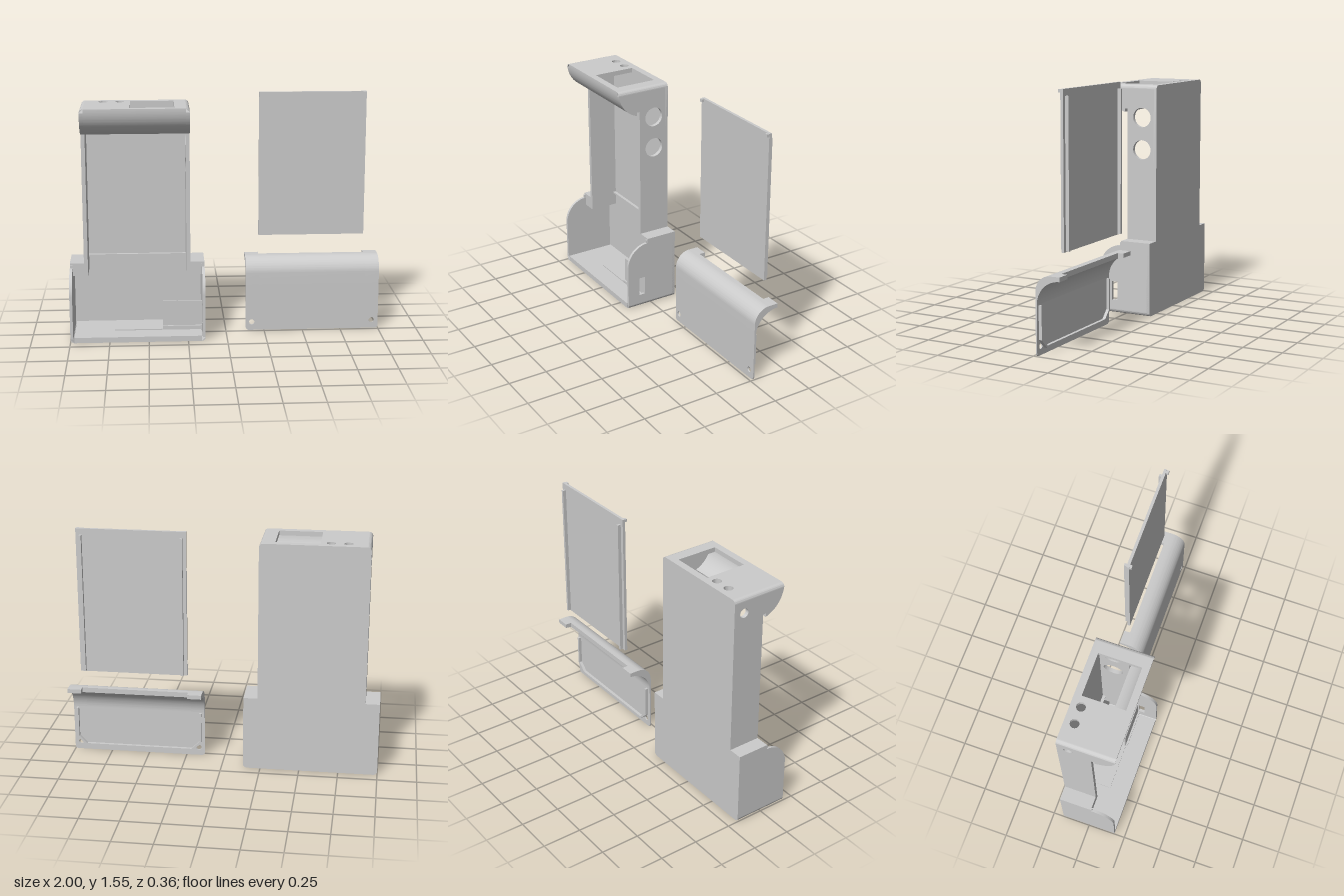
import * as THREE from 'three';
import { toCreasedNormals } from 'three/addons/utils/BufferGeometryUtils.js';

const material = new THREE.MeshStandardMaterial({ color: 0xcccccc });

function add(group, name, geometry) {
  const mesh = new THREE.Mesh(geometry, material);
  mesh.name = name;
  group.add(mesh);
  return mesh;
}

function extrude(shape, depth) {
  return toCreasedNormals(new THREE.ExtrudeGeometry(shape, { depth, bevelEnabled: false, curveSegments: 24 }), 0.5);
}

// Extrusions: alongX takes a (z, y) profile, alongY an (x, z) plan, alongZ an (x, y) outline
const alongX = (s, x0, x1) => extrude(s, x1 - x0).rotateY(-Math.PI / 2).translate(x1, 0, 0);
const alongY = (s, y0, y1) => extrude(s, y1 - y0).rotateX(Math.PI / 2).translate(0, y1, 0);
const alongZ = (s, z0, z1) => extrude(s, z1 - z0).translate(0, 0, z0);

const box = (x0, x1, y0, y1, z0, z1) =>
  new THREE.BoxGeometry(x1 - x0, y1 - y0, z1 - z0).translate((x0 + x1) / 2, (y0 + y1) / 2, (z0 + z1) / 2);

const poly = (pts) => new THREE.Shape(pts.map(([a, b]) => new THREE.Vector2(a, b)));
const rect = (a0, a1, b0, b1) => poly([[a0, b0], [a1, b0], [a1, b1], [a0, b1]]);

function round(x, y, r) {
  const p = new THREE.Path();
  p.absarc(x, y, r, 0, Math.PI * 2, true);
  return p;
}

// Quarter disc filling a rounded corner, centred on (x, y)
function quarter(x, y, r, start) {
  const s = new THREE.Shape();
  s.moveTo(x, y);
  s.absarc(x, y, r, start, start + Math.PI / 2, false);
  s.closePath();
  return s;
}

function createBody() {
  const g = new THREE.Group();
  g.name = 'body';
  const back = -0.18, r = 0.025;

  // Back panel: wide base and narrow tower
  const panel = new THREE.Shape();
  panel.moveTo(-1 + r, 0);
  panel.lineTo(-0.14 - r, 0);
  panel.absarc(-0.14 - r, r, r, -Math.PI / 2, 0, false);
  for (const [x, y] of [[-0.14, 0.485], [-0.23, 0.485], [-0.23, 1.475]]) panel.lineTo(x, y);
  panel.absarc(-0.23 - r, 1.475, r, 0, Math.PI / 2, false);
  panel.lineTo(-0.91 + r, 1.5);
  panel.absarc(-0.91 + r, 1.475, r, Math.PI / 2, Math.PI, false);
  panel.lineTo(-0.91, 0.485);
  panel.lineTo(-1, 0.485);
  panel.lineTo(-1, r);
  panel.absarc(-1 + r, r, r, Math.PI, Math.PI * 1.5, false);
  add(g, 'backPanel', alongZ(panel, back, -0.16));

  // Base floor with a recess underneath and a raised pad over it
  const floor = rect(-1 + r, -0.14 - r, back, 0.18);
  floor.holes.push(rect(-0.71, -0.43, -0.04, 0.04));
  add(g, 'baseFloor', alongY(floor, 0, 0.035));
  add(g, 'floorPad', box(-0.72, -0.415, 0.027, 0.042, -0.055, 0.05));
  add(g, 'floorCornerRight', alongZ(quarter(-1 + r, r, r, Math.PI), back, 0.18));
  add(g, 'floorCornerLeft', alongZ(quarter(-0.14 - r, r, r, Math.PI * 1.5), back, 0.18));

  // Base side walls with a curved front edge; the left one has a port slot
  for (const left of [false, true]) {
    const s = new THREE.Shape();
    s.moveTo(back, r);
    s.lineTo(0.18, r);
    s.lineTo(0.18, 0.305);
    s.absarc(0.03, 0.305, 0.15, 0, Math.PI / 2, false);
    s.lineTo(0.03, 0.485);
    s.lineTo(back, 0.485);
    s.closePath();
    if (left) s.holes.push(rect(0.055, 0.095, 0.085, 0.21));
    const x0 = left ? -0.158 : -1;
    add(g, 'baseSide', alongX(s, x0, x0 + 0.018));
    // Shoulder joining base and tower, with a small catch in front
    const [a, b] = left ? [-0.255, -0.15] : [-0.99, -0.885];
    add(g, 'shoulder', box(a, b, 0.4, 0.485, back, 0.03));
    const c = left ? -0.158 : -0.997;
    add(g, 'coverCatch', box(c, c + 0.015, 0.45, 0.475, 0.025, 0.038));
  }

  // Tower side walls, reaching forward at the head
  for (const left of [false, true]) {
    const s = new THREE.Shape();
    s.moveTo(back, 0.4);
    s.lineTo(0.03, 0.4);
    s.lineTo(0.03, 1.345);
    s.lineTo(0.05, 1.345);
    s.lineTo(0.05, 1.322);
    s.absarc(0, 1.495, 0.18, -1.289, -0.111, false);
    s.lineTo(back, 1.475);
    s.closePath();
    if (left) s.holes.push(round(-0.075, 1.29, 0.063), round(-0.075, 1.08, 0.063));
    else s.holes.push(round(-0.11, 1.4, 0.03));
    const x0 = left ? -0.255 : -0.91;
    add(g, 'towerSide', alongX(s, x0, x0 + 0.025));
    const corner = left ? quarter(-0.255, 1.475, r, 0) : quarter(-0.885, 1.475, r, Math.PI / 2);
    add(g, 'headCorner', alongZ(corner, back, 0.18));
  }

  // Curved shell under the head's front
  const shell = new THREE.Shape();
  shell.moveTo(0.05, 1.345);
  shell.lineTo(0.05, 1.322);
  shell.absarc(0, 1.495, 0.18, -1.289, 0, false);
  shell.lineTo(0.18, 1.5);
  shell.lineTo(0.155, 1.5);
  shell.absarc(0, 1.495, 0.157, 0, -1.25, true);
  shell.closePath();
  add(g, 'headFront', alongX(shell, -0.885, -0.255));

  // Head top with a display window and two button holes
  const top = rect(-0.885, -0.255, back, 0.17);
  top.holes.push(rect(-0.6, -0.325, -0.135, 0.135), round(-0.77, -0.115, 0.028), round(-0.665, -0.115, 0.028));
  add(g, 'headTop', alongY(top, 1.47, 1.5));

  // Inner rib and circuit holder beside the port
  add(g, 'innerRib', box(-0.885, -0.255, 0.485, 0.495, -0.165, -0.14));
  add(g, 'boardHolder', box(-0.41, -0.155, 0.03, 0.23, 0.04, 0.05));
  add(g, 'boardLip', box(-0.41, -0.155, 0.055, 0.065, 0.045, 0.062));
  return g;
}

// Flat sliding plate with two rails behind and two finger tabs in front
function createPlate() {
  const g = new THREE.Group();
  g.name = 'slidingPlate';
  add(g, 'plate', box(0.22, 0.91, 0.61, 1.55, -0.158, -0.14));
  for (const side of [-1, 1]) {
    const x = 0.565 + side * 0.315, t = 0.565 + side * 0.333;
    add(g, 'rail', box(x - 0.008, x + 0.008, 0.615, 1.51, -0.18, -0.157));
    add(g, 'tab', box(t - 0.011, t + 0.011, 1.53, 1.548, -0.141, -0.125));
  }
  return g;
}

function createCover() {
  const g = new THREE.Group();
  g.name = 'baseCover';

  // Flat lower sheet with rounded corners and two screw holes
  const r = 0.02, s = new THREE.Shape();
  s.moveTo(0.13 + r, 0);
  s.lineTo(1 - r, 0);
  s.absarc(1 - r, r, r, -Math.PI / 2, 0, false);
  s.lineTo(1, 0.305);
  s.lineTo(0.13, 0.305);
  s.lineTo(0.13, r);
  s.absarc(0.13 + r, r, r, Math.PI, Math.PI * 1.5, false);
  s.holes.push(round(0.17, 0.055, 0.018), round(0.958, 0.055, 0.018));
  add(g, 'coverSheet', alongZ(s, -0.027, -0.018));

  // Curved upper part; the ends reach further back than the middle
  for (const [x0, x1, zEnd] of [[0.13, 0.22, -0.18], [0.22, 0.91, -0.14], [0.91, 1, -0.18]]) {
    const c = new THREE.Shape();
    c.moveTo(-0.018, 0.305);
    c.lineTo(-0.018, 0.385);
    c.absarc(-0.118, 0.385, 0.1, 0, Math.PI / 2, false);
    c.lineTo(zEnd, 0.485);
    c.absarc(-0.18, 0.305, 0.153, Math.acos((zEnd + 0.18) / 0.153), 0, true);
    c.closePath();
    add(g, 'coverCurve', alongX(c, x0, x1));
  }

  // U-shaped locating rib, chamfered around the screw holes
  const rib = poly([
    [0.15, 0.3], [0.15, 0.095], [0.21, 0.035], [0.92, 0.035], [0.98, 0.095], [0.98, 0.3],
    [0.966, 0.3], [0.966, 0.101], [0.914, 0.049], [0.216, 0.049], [0.164, 0.101], [0.164, 0.3],
  ]);
  add(g, 'locatingRib', alongZ(rib, -0.047, -0.026));
  return g;
}

export function createModel() {
  const model = new THREE.Group();
  model.name = 'deviceCase';
  model.add(createBody(), createPlate(), createCover());
  return model;
}
